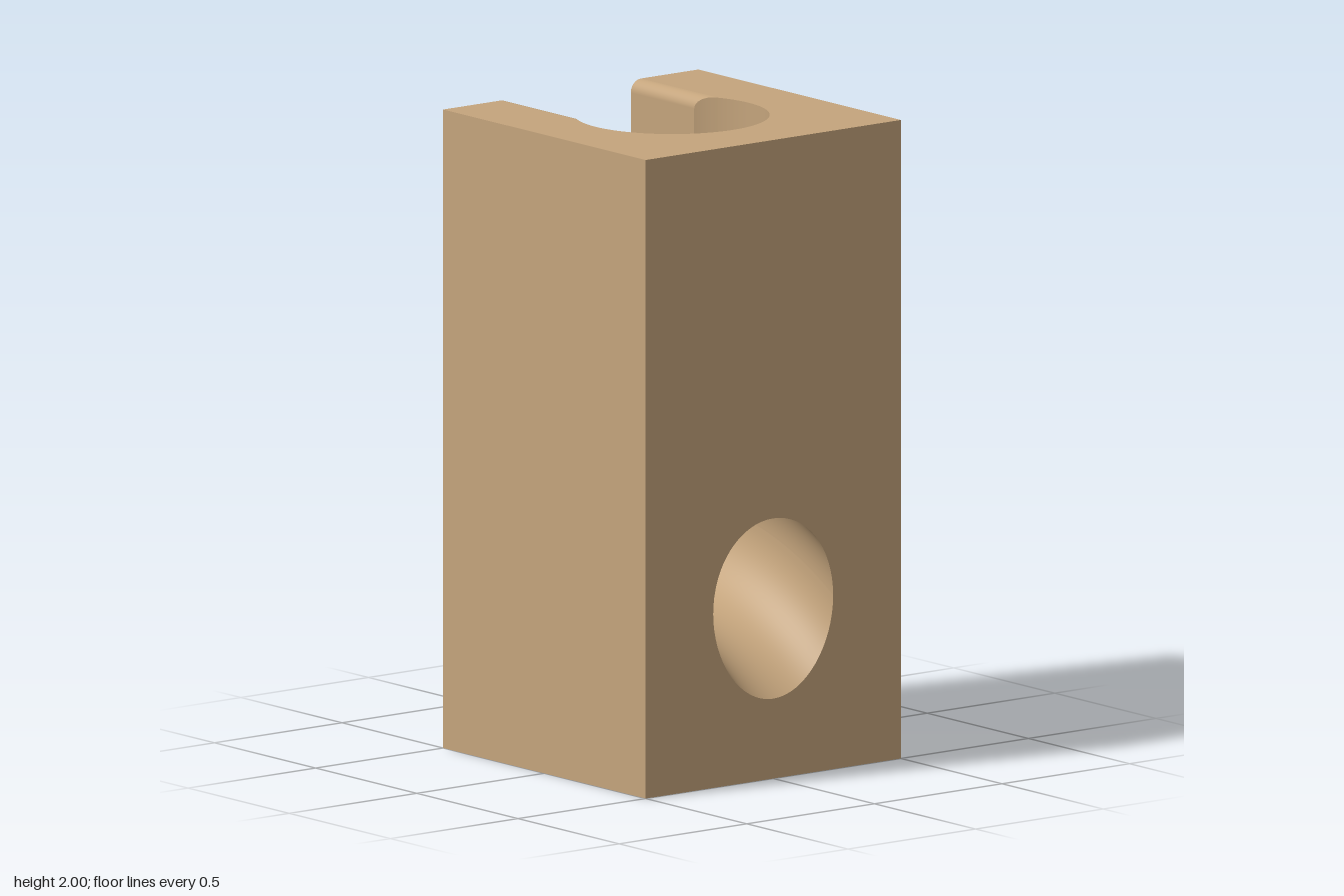
import * as THREE from 'three';

const H = 0.5, TOP = 2;               // half width and height of the block
const R = 0.235;                      // groove and tunnel radius
const BORE = 0.3, PIT = 0.27;         // upper and lower shaft radii
const STEP = 1, LEDGE = 0.735;        // heights of the shaft step and floor
const FILLET = 0.04, SLOT_Y = 1.485;  // groove lip rounding, centre of its floor
const BEND_X = -0.15, BEND_R = 1.205; // where the tunnel starts to curve down, and its radius

const wallX = (r, z) => Math.sqrt(Math.max(0, r * r - z * z));

// Grid surface from a function of u and v in 0..1
function sheet(fn, nu, nv) {
  const pos = [], index = [];
  for (let i = 0; i <= nu; i++) {
    for (let j = 0; j <= nv; j++) {
      pos.push(...fn(i / nu, j / nv));
      if (i < nu && j < nv) {
        const a = i * (nv + 1) + j, b = a + nv + 1;
        index.push(a, b, a + 1, b, b + 1, a + 1);
      }
    }
  }
  const g = new THREE.BufferGeometry();
  g.setAttribute('position', new THREE.Float32BufferAttribute(pos, 3));
  g.setIndex(index);
  g.computeVertexNormals();
  return g;
}

// Height of the tunnel surface at x for section angle a
function tunnelY(x, a) {
  const rho = BEND_R + R * Math.sin(a), s = Math.max(0, x - BEND_X);
  return LEDGE - BEND_R + Math.sqrt(rho * rho - s * s);
}

// Half width of the tunnel where it cuts the shaft floor
function cutWidth(x) {
  const rise = Math.hypot(BEND_R, Math.max(0, x - BEND_X)) - BEND_R;
  return Math.sqrt(R * R - rise * rise);
}

// Groove section (z, y): rounded lip, straight wall, round floor, and back up
function grooveProfile() {
  const pts = [];
  for (let i = 0; i <= 8; i++) {
    const t = (i / 8) * Math.PI / 2;
    pts.push([R + FILLET - FILLET * Math.sin(t), TOP - FILLET + FILLET * Math.cos(t)]);
  }
  for (let i = 0; i <= 40; i++) {
    const t = (i / 40) * Math.PI;
    pts.push([R * Math.cos(t), SLOT_Y - R * Math.sin(t)]);
  }
  for (let i = 8; i >= 0; i--) pts.push([-pts[i][0], pts[i][1]]);
  return pts;
}

export function createModel() {
  const model = new THREE.Group();
  const wood = new THREE.MeshStandardMaterial({ color: 0xc4a47c, side: THREE.DoubleSide });
  wood.name = 'wood';
  const add = (name, geometry) => {
    const mesh = new THREE.Mesh(geometry, wood);
    mesh.name = name;
    model.add(mesh);
    return mesh;
  };
  const profile = grooveProfile(), last = profile.length - 1;
  const at = u => profile[Math.round(u * last)];

  // Plain outer faces
  add('frontFace', new THREE.PlaneGeometry(1, TOP).translate(0, TOP / 2, H));
  add('backFace', new THREE.PlaneGeometry(1, TOP).rotateY(Math.PI).translate(0, TOP / 2, -H));
  add('bottomFace', new THREE.PlaneGeometry(1, 1).rotateX(Math.PI / 2));

  // Top face with a keyhole opening
  const lip = R + FILLET, lipAngle = Math.asin(lip / BORE);
  const top = new THREE.Shape();
  top.moveTo(-H, -H).lineTo(H, -H).lineTo(H, H).lineTo(-H, H).lineTo(-H, lip);
  top.lineTo(-wallX(BORE, lip), lip);
  top.absarc(0, 0, BORE, Math.PI - lipAngle, lipAngle - Math.PI, true);
  top.lineTo(-H, -lip);
  add('topFace', new THREE.ShapeGeometry(top, 72).rotateX(-Math.PI / 2).translate(0, TOP, 0));

  // Side face with the groove mouth
  const grooveSide = new THREE.Shape();
  grooveSide.moveTo(-H, 0).lineTo(H, 0).lineTo(H, TOP);
  profile.forEach(([z, y]) => grooveSide.lineTo(z, y));
  grooveSide.lineTo(-H, TOP);
  add('grooveFace', new THREE.ShapeGeometry(grooveSide).rotateY(-Math.PI / 2).translate(-H, 0, 0));

  // Side face with the tunnel mouth
  const tunnelSide = new THREE.Shape();
  tunnelSide.moveTo(-H, 0).lineTo(H, 0).lineTo(H, TOP).lineTo(-H, TOP);
  const mouth = [];
  for (let i = 0; i < 64; i++) {
    const a = (i / 64) * Math.PI * 2;
    mouth.push(new THREE.Vector2(R * Math.cos(a), tunnelY(H, a)));
  }
  tunnelSide.holes.push(new THREE.Path(mouth));
  add('tunnelFace', new THREE.ShapeGeometry(tunnelSide).rotateY(Math.PI / 2).translate(H, 0, 0));

  // Open groove running from the side into the shaft
  add('groove', sheet((u, v) => {
    const [z, y] = at(u);
    return [THREE.MathUtils.lerp(-H, -wallX(BORE, z), v), y, z];
  }, last, 1));

  // Upper shaft: main wall, the part below the groove, and the step
  add('upperShaft', new THREE.CylinderGeometry(BORE, BORE, TOP - STEP, 72, 1, true,
    Math.PI * 1.5 + lipAngle, Math.PI * 2 - 2 * lipAngle).translate(0, (TOP + STEP) / 2, 0));
  add('shaftBelowGroove', sheet((u, v) => {
    const [z, y] = at(u);
    return [-wallX(BORE, z), THREE.MathUtils.lerp(STEP, y, v), z];
  }, last, 1));
  add('shaftStep', new THREE.RingGeometry(PIT, BORE, 96).rotateX(-Math.PI / 2).translate(0, STEP, 0));

  // Lower shaft: main wall, the part above the tunnel, and the end below the floor
  const gap = Math.asin(R / PIT), pitX = wallX(PIT, R);
  add('lowerShaft', new THREE.CylinderGeometry(PIT, PIT, STEP - LEDGE, 72, 1, true,
    Math.PI / 2 + gap, Math.PI * 2 - 2 * gap).translate(0, (STEP + LEDGE) / 2, 0));
  add('shaftAboveTunnel', sheet((u, v) => {
    const a = u * Math.PI, z = R * Math.cos(a), x = wallX(PIT, z);
    return [x, THREE.MathUtils.lerp(Math.max(LEDGE, tunnelY(x, a)), STEP, v), z];
  }, 40, 1));
  add('tunnelEnd', sheet((u, v) => {
    const a = Math.PI * (1 + u), z = R * Math.cos(a), x = -wallX(PIT, z);
    return [x, THREE.MathUtils.lerp(LEDGE, tunnelY(x, a), v), z];
  }, 40, 1));

  // Flat ledges either side of the tunnel at the shaft floor
  for (const side of [1, -1]) {
    add('shaftFloor', sheet((u, v) => {
      const x = THREE.MathUtils.lerp(-pitX, pitX + 0.006, u), w = cutWidth(x);
      return [x, LEDGE, side * THREE.MathUtils.lerp(w, Math.max(w, wallX(PIT, x)), side > 0 ? v : 1 - v)];
    }, 24, 1));
  }

  // Tunnel curving down and out through the side
  add('tunnelFloor', sheet((u, v) => {
    const a = Math.PI * (1 + u), z = R * Math.cos(a);
    const x = THREE.MathUtils.lerp(-wallX(PIT, z), H, v);
    return [x, tunnelY(x, a), z];
  }, 40, 32));
  add('tunnelRoof', sheet((u, v) => {
    const a = u * Math.PI, z = R * Math.cos(a), rho = BEND_R + R * Math.sin(a);
    const cut = Math.max(-pitX, BEND_X + Math.sqrt(Math.max(0, rho * rho - BEND_R * BEND_R)));
    const x = THREE.MathUtils.lerp(Math.min(cut, wallX(PIT, z)), H, v);
    return [x, tunnelY(x, a), z];
  }, 80, 32));

  return model;
}
